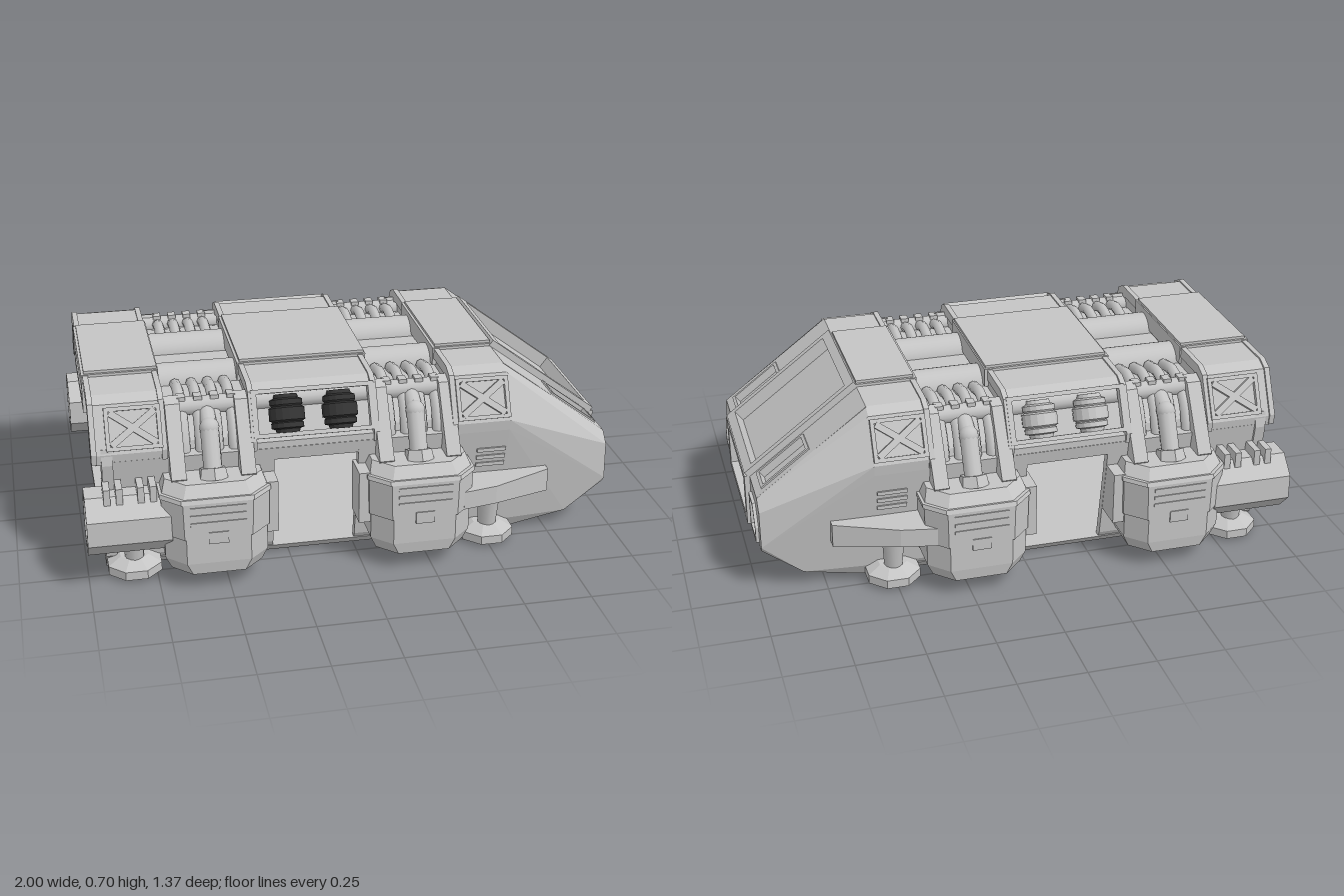
import * as THREE from 'three';
import { ConvexGeometry } from 'three/addons/geometries/ConvexGeometry.js';

const V = (x, y, z) => new THREE.Vector3(x, y, z);

export function createModel() {
  const root = new THREE.Group();
  root.name = 'dropship';
  const hullGrey = new THREE.MeshStandardMaterial({ color: 0xc4c4c4 });
  hullGrey.name = 'hull grey';
  const darkMetal = new THREE.MeshStandardMaterial({ color: 0x333333 });
  darkMetal.name = 'dark metal';

  // ---- helpers ----
  const add = (name, geo, mat = hullGrey) => {
    const m = new THREE.Mesh(geo, mat);
    m.name = name;
    root.add(m);
  };
  // copy reflected across z = 0, with corner order reversed
  const mirrored = (geo) => {
    const src = geo.index ? geo.toNonIndexed() : geo;
    const out = new THREE.BufferGeometry();
    for (const key of ['position', 'normal']) {
      const a = src.attributes[key], arr = new Float32Array(a.count * 3);
      for (let i = 0; i < a.count; i++) {
        const k = i % 3, j = k === 0 ? i : k === 1 ? i + 1 : i - 1;
        arr.set([a.getX(j), a.getY(j), -a.getZ(j)], i * 3);
      }
      out.setAttribute(key, new THREE.BufferAttribute(arr, 3));
    }
    return out;
  };
  const both = (name, geo, mat = hullGrey, mat2 = hullGrey) => {
    add(name + 'Left', geo, mat);
    add(name + 'Right', mirrored(geo), mat2);
  };
  const flat = (geo) => {
    const g = geo.index ? geo.toNonIndexed() : geo;
    g.computeVertexNormals();
    return g;
  };
  const box = (x0, x1, y0, y1, z0, z1) =>
    new THREE.BoxGeometry(x1 - x0, y1 - y0, z1 - z0).translate((x0 + x1) / 2, (y0 + y1) / 2, (z0 + z1) / 2);
  const poly = (pts) => new THREE.Shape(pts.map(([x, y]) => new THREE.Vector2(x, y)));
  const slab = (pts, holes, depth) => {
    const s = poly(pts);
    s.holes.push(...holes.map(poly));
    return new THREE.ExtrudeGeometry(s, { depth, bevelEnabled: false });
  };
  // (z, y) outline swept along x
  const sweep = (pts, x0, x1) =>
    slab(pts.map(([z, y]) => [-z, y]), [], x1 - x0).rotateY(Math.PI / 2).translate(x0, 0, 0);
  const place = (geo, o, n, up) =>
    geo.applyMatrix4(new THREE.Matrix4().makeBasis(up.clone().cross(n), up, n).setPosition(o));
  const rect = (w, h, x = 0, y = 0) => [[x - w, y - h], [x + w, y - h], [x + w, y + h], [x - w, y + h]];
  const rod = (a, b, r0, r1, n = 12) => {
    const d = b.clone().sub(a);
    return new THREE.CylinderGeometry(r1, r0, d.length(), n)
      .applyQuaternion(new THREE.Quaternion().setFromUnitVectors(V(0, 1, 0), d.normalize()))
      .translate((a.x + b.x) / 2, (a.y + b.y) / 2, (a.z + b.z) / 2);
  };
  // band between two half profiles, both carried over the roof
  const band = (half, inner, x0, x1) => {
    const flip = (p) => p.map(([z, y]) => [-z, y]);
    return sweep([...half, ...flip(half).reverse(), ...flip(inner), ...inner.slice().reverse()], x0, x1);
  };
  const arch = (half, t, x0, x1) => band(half, half.map(([z, y], i) => [z - t, i ? y - t : y]), x0, x1);

  // ---- floor and side walls with a doorway ----
  add('floor', sweep([[-0.43, 0], [0.43, 0], [0.455, 0.03], [-0.455, 0.03]], -0.93, 0.4));
  const wall = [[0.43, 0], [0.46, 0.05], [0.532, 0.47], [0.44, 0.47], [0.495, 0.43], [0.425, 0.03]];
  both('rearWall', sweep(wall, -0.93, -0.31));
  both('frontWall', sweep(wall, 0, 0.36));
  both('doorLintel', sweep([[0.523, 0.42], [0.532, 0.47], [0.44, 0.47], [0.48, 0.42]], -0.31, 0));
  both('rearPost', sweep([[0.44, 0.03], [0.47, 0.06], [0.54, 0.46], [0.53, 0.52], [0.46, 0.5], [0.41, 0.03]], -0.93, -0.89));

  // ---- roof arches, recessed over the two machinery bays ----
  const full = [[0.53, 0.46], [0.535, 0.5], [0.455, 0.66], [0.41, 0.68]];
  const pocket = [[0.53, 0.46], [0.53, 0.495], [0.475, 0.495], [0.405, 0.64], [0.445, 0.66], [0.41, 0.68]];
  const pocketInner = [[0.48, 0.46], [0.44, 0.47], [0.37, 0.62], [0.36, 0.64]];
  const low = [[0.48, 0.44], [0.47, 0.5], [0.39, 0.6], [0.35, 0.61]];
  const rim = full.map(([z, y]) => [z + 0.006, y + 0.006]);
  add('rearArch', arch(full, 0.04, -0.95, -0.7));
  add('middleArch', band(pocket, pocketInner, -0.39, 0.07));
  for (const [x0, x1] of [[-0.7, -0.39], [0.07, 0.36]]) add('bayArch', arch(low, 0.03, x0, x1));
  for (const x of [-0.965, -0.715, -0.395, 0.055, 0.35]) add('archRim', arch(rim, 0.04, x, x + 0.02));
  const lowInner = low.map(([z, y]) => [z - 0.025, y - 0.025]);
  for (const x of [-0.71, -0.39, 0.058]) add('bayBulkhead', band(full, lowInner, x, x + 0.012));
  for (const [x0, x1] of [[-0.97, -0.69], [-0.4, 0.085], [0.345, 0.575]]) {
    add('roofCap', box(x0, x1, 0.62, 0.69, -0.245, 0.245));
    add('roofCapTop', box(x0 + 0.01, x1 - 0.005, 0.69, 0.7, -0.235, 0.235));
  }
  const ahead = V(1, 0, 0), yUp = V(0, 1, 0);
  add('rearHeader', place(slab(rect(0.245, 0.075), [rect(0.21, 0.045)], 0.05), V(-0.92, 0.615, 0), V(-1, 0, 0), yUp));
  add('rearHeaderPanel', box(-0.94, -0.9, 0.555, 0.675, -0.23, 0.23));

  // ---- nose: core, faceted cheeks, and plates with recessed openings ----
  const core = [[0.36, 0], [0.6, 0], [0.83, 0.06], [0.955, 0.152], [0.955, 0.358], [0.555, 0.66], [0.57, 0.68], [0.36, 0.68]];
  add('noseCore', slab(core, [], 0.82).translate(0, 0, -0.41));
  const cheek = [[0.98, 0.37, 0.42], [0.98, 0.33, 0.46], [0.98, 0.19, 0.465], [0.98, 0.17, 0.45],
    [0.83, 0.06, 0.455], [0.6, 0, 0.43]];
  for (const x of [0.36, 0.57]) for (const [z, y] of [[0.46, 0.05], [0.43, 0], ...full]) cheek.push([x, y, z]);
  for (const [x, y] of [[0.36, 0], [0.36, 0.68], [0.57, 0.68], [0.98, 0.37], [0.98, 0.17], [0.83, 0.06], [0.6, 0]]) {
    cheek.push([x, y, 0.41]);
  }
  both('noseCheek', new ConvexGeometry(cheek.map((p) => V(...p))));
  const sn = V(0.603, 0.798, 0), su = V(-0.798, 0.603, 0);
  const onSlope = (geo, d) => place(geo, V(0.775, 0.525, 0).addScaledVector(sn, d), sn, su);
  const onFront = (geo, x) => place(geo, V(x, 0, 0), ahead, yUp);
  const screen = rect(0.222, 0.225);
  add('slopePlate', onSlope(slab(rect(0.415, 0.257),
    [screen, rect(0.048, 0.1, 0.327, -0.113), rect(0.048, 0.1, -0.327, -0.113)], 0.025), -0.025));
  add('windscreenFrame', onSlope(slab(rect(0.248, 0.262), [screen], 0.025), 0));
  both('noseSlotFrame', onSlope(slab(rect(0.06, 0.113, -0.327, -0.113), [rect(0.048, 0.1, -0.327, -0.113)], 0.006), 0));
  const lamp = [[-0.405, 0.2], [-0.292, 0.2], [-0.292, 0.312], [-0.365, 0.312], [-0.405, 0.25]];
  const grow = (k) => lamp.map(([x, y]) => [-0.35 + (x + 0.35) * k, 0.256 + (y - 0.256) * k]);
  const mirrorX = (pts) => pts.map(([x, y]) => [-x, y]);
  const chin = rect(0.212, 0.076, 0, 0.273);
  add('frontPlate', onFront(slab(rect(0.42, 0.1, 0, 0.27), [chin, lamp, mirrorX(lamp)], 0.025), 0.955));
  add('chinFrame', onFront(slab(rect(0.248, 0.1, 0, 0.273), [chin], 0.02), 0.98));
  add('chinPanel', onFront(slab(rect(0.17, 0.045, 0, 0.273), [], 0.02), 0.955));
  both('headlightFrame', onFront(slab(grow(1.22), [lamp], 0.012), 0.98));
  both('headlight', onFront(slab(grow(0.75), [], 0.009), 0.955));
  add('chinSkid', new ConvexGeometry([0.25, -0.25].flatMap((z) =>
    [V(0.6, 0, z), V(0.84, 0.06, z), V(0.86, 0.075, z), V(0.6, 0.05, z)])));

  // ---- shoulder details ----
  const n = V(0, 0.447, 0.894), up = V(0, 0.894, -0.447);
  for (const x of [-0.81, 0.47]) {
    const o = V(x, 0.58, 0.495);
    both('braceFrame', place(slab(rect(0.1, 0.078), [rect(0.085, 0.063)], 0.016), o, n, up));
    for (const s of [-1, 1]) {
      both('brace', place(new THREE.BoxGeometry(0.2, 0.024, 0.018).rotateZ(s * 0.63).translate(0, 0, 0.009), o, n, up));
    }
  }
  both('drumBayFrame', place(slab(rect(0.225, 0.088), [rect(0.205, 0.072)], 0.03), V(-0.16, 0.58, 0.473), n, up));
  const ribs = [[0, -0.07], [0.042, -0.07], [0.046, -0.056], [0.06, -0.052], [0.06, -0.034], [0.055, -0.03],
    [0.066, -0.024], [0.066, 0.02], [0.055, 0.026], [0.06, 0.032], [0.06, 0.05], [0.046, 0.056], [0.042, 0.07], [0, 0.07]];
  for (const x of [-0.255, -0.06]) {
    const drum = flat(new THREE.LatheGeometry(ribs.map(([r, y]) => new THREE.Vector2(r, y)), 16));
    both('drum', place(drum, V(x, 0.575, 0.472), n, up), darkMetal, hullGrey);
  }

  // ---- long roof pipes ----
  both('roofPipe', rod(V(-0.7, 0.6, 0.15), V(0.37, 0.6, 0.15), 0.07, 0.07, 24));
  both('sidePipe', rod(V(-0.7, 0.61, 0.41), V(0.37, 0.61, 0.41), 0.034, 0.034, 14));

  // ---- machinery bays and lift pods ----
  const plan = (cx, y, w, z, c) => [V(cx - w, y, 0.46), V(cx - w, y, z - c), V(cx - w + c, y, z),
    V(cx + w - c, y, z), V(cx + w, y, z - c), V(cx + w, y, 0.46)];
  for (const [cx, door] of [[-0.54, 1], [0.215, -1]]) {
    for (const dx of [-0.09, -0.03, 0.03, 0.09]) {
      const path = new THREE.CatmullRomCurve3([V(cx + dx, 0.62, 0.23), V(cx + dx, 0.635, 0.33),
        V(cx + dx, 0.59, 0.43), V(cx + dx, 0.5, 0.485), V(cx + dx, 0.38, 0.5)]);
      both('bayRib', new THREE.TubeGeometry(path, 14, 0.021, 8));
      both('pipeClip', box(cx + dx - 0.015, cx + dx + 0.015, 0.59, 0.652, 0.39, 0.43));
    }
    for (const dx of [-0.125, 0.125]) {
      both('podArm', sweep([[0.38, 0.6], [0.41, 0.655], [0.455, 0.64], [0.6, 0.41], [0.57, 0.37], [0.47, 0.4]],
        cx + dx - 0.027, cx + dx + 0.027));
    }
    both('piston', rod(V(cx, 0.41, 0.575), V(cx, 0.56, 0.5), 0.034, 0.034));
    both('pistonHead', new THREE.SphereGeometry(0.036, 14, 10).translate(cx, 0.56, 0.5));
    both('pistonLink', rod(V(cx, 0.56, 0.5), V(cx, 0.6, 0.41), 0.03, 0.03));
    both('pistonCollar', flat(rod(V(cx, 0.39, 0.575), V(cx, 0.43, 0.56), 0.058, 0.05, 6)));
    both('podLower', new ConvexGeometry([...plan(cx, 0.065, 0.165, 0.672, 0.07),
      ...plan(cx, 0.11, 0.186, 0.678, 0.07), ...plan(cx, 0.22, 0.186, 0.678, 0.07)]));
    both('podUpper', new ConvexGeometry([...plan(cx, 0.21, 0.192, 0.682, 0.07),
      ...plan(cx, 0.35, 0.195, 0.682, 0.07), ...plan(cx, 0.405, 0.175, 0.635, 0.07)]));
    both('podLip', new ConvexGeometry([...plan(cx, 0.35, 0.2, 0.684, 0.07), ...plan(cx, 0.365, 0.2, 0.677, 0.07)]));
    for (let i = 0; i < 3; i++) both('podVent', box(cx - 0.1, cx + 0.1, 0.265 + i * 0.03, 0.277 + i * 0.03, 0.67, 0.686));
    both('podLatch', box(cx - 0.035, cx + 0.035, 0.19, 0.235, 0.66, 0.686));
    both('doorGuard', box(cx + door * 0.207 - 0.022, cx + door * 0.207 + 0.022, 0.17, 0.37, 0.48, 0.6));
  }

  // ---- rear thrusters ----
  const bell = [[0, 0.012], [0.092, 0.012], [0.1, 0], [0.122, 0], [0.122, 0.3], [0, 0.3]];
  both('thruster', flat(new THREE.LatheGeometry(bell.map(([r, y]) => new THREE.Vector2(r, y)), 8)
    .rotateY(Math.PI / 8).rotateZ(-Math.PI / 2).translate(-1, 0.245, 0.53)));
  for (const x of [-0.9, -0.78]) {
    for (const dx of [-0.022, 0.022]) both('thrusterClip', box(x + dx - 0.012, x + dx + 0.012, 0.33, 0.395, 0.5, 0.6));
  }

  // ---- side fins, hull vents and landing feet ----
  const finPlan = [[0.37, 0.48], [0.37, 0.65], [0.5, 0.625], [0.73, 0.525], [0.73, 0.47]];
  both('sideFin', new ConvexGeometry(finPlan.flatMap(([x, z]) =>
    [V(x, 0.28, z), V(x, x > 0.7 ? 0.19 : 0.21, z)])));
  for (let i = 0; i < 3; i++) {
    const y = 0.31 + i * 0.032;
    both('hullVent', box(0.45, 0.56, y, y + 0.014, 0.48, 0.513 + i * 0.006));
  }
  for (const x of [-0.83, 0.505]) {
    // eight-sided foot cut off where it meets the hull
    const foot = [];
    for (let i = 0; i < 8; i++) {
      const a = (i + 0.5) * Math.PI / 4;
      for (const [r, y] of [[0.105, 0.012], [0.105, 0.045], [0.055, 0.072]]) {
        foot.push(V(x + r * Math.cos(a), y, Math.max(0.445, 0.48 + r * Math.sin(a))));
      }
    }
    both('foot', new ConvexGeometry(foot));
    both('footStrut', rod(V(x, 0.06, 0.5), V(x, 0.22, 0.515), 0.034, 0.044));
  }
  return root;
}
